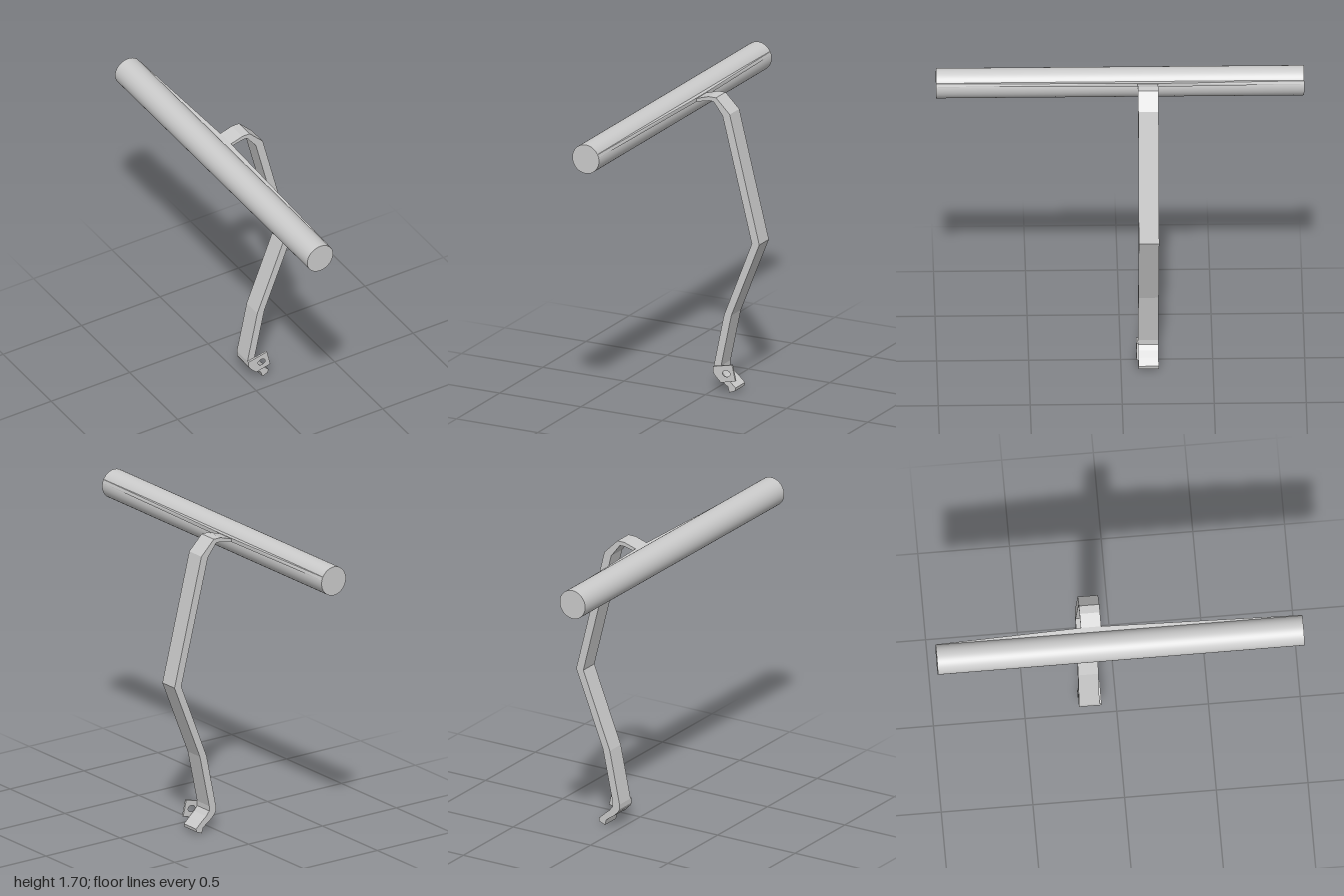
import * as THREE from 'three';
import { ConvexGeometry } from 'three/addons/geometries/ConvexGeometry.js';

const BACK = -0.205, FRONT = -0.094;

export function createModel() {
  const model = new THREE.Group();
  const grey = new THREE.MeshStandardMaterial({ color: 0xcccccc });
  const flat = new THREE.MeshStandardMaterial({ color: 0xcccccc, flatShading: true });

  const add = (name, geometry, material) => {
    const mesh = new THREE.Mesh(geometry, material);
    mesh.name = name;
    model.add(mesh);
    return mesh;
  };
  const outline = (points) => new THREE.Shape(points.map(([x, y]) => new THREE.Vector2(x, y)));
  const extrude = (shape, z0, z1) =>
    new THREE.ExtrudeGeometry(shape, { depth: z1 - z0, bevelEnabled: false, curveSegments: 10 }).translate(0, 0, z0);

  // Long round crossbar
  const bar = add('crossbar', new THREE.CylinderGeometry(0.082, 0.082, 2, 48).rotateX(Math.PI / 2), grey);
  bar.position.set(-0.205, 1.617, 0);

  // Bent flat strip: outer edge down to the hooked foot, then back up the inner edge
  const strip = outline([
    [-0.13, 1.647], [-0.105, 1.657], [-0.03, 1.68], [0.016, 1.68], [0.1, 1.597],
    [0.282, 0.878], [0.11, 0.447], [0.047, 0.15], [0.047, 0.122], [0.068, 0.096],
    [0.1, 0.069], [0.136, 0.036], [0.133, 0.018], [0.097, 0.004],
    [0.088, 0.036], [0.038, 0.07], [0.01, 0.098], [0.002, 0.115], [0.002, 0.142],
    [0.065, 0.443], [0.236, 0.878], [0.056, 1.584], [0, 1.656], [-0.025, 1.657],
    [-0.11, 1.638], [-0.13, 1.63],
  ]);
  add('bentArm', extrude(strip, BACK, FRONT), flat);

  // Thin tab with an oblong hole on the front of the foot
  const tab = outline([
    [0.002, 0.142], [0.12, 0.168], [0.141, 0.078], [0.052, 0.057],
    [0.036, 0.071], [0.01, 0.098], [0.002, 0.115],
  ]);
  tab.holes.push(new THREE.Path().absellipse(0.085, 0.113, 0.023, 0.018, 0, Math.PI * 2, true, 0.05));
  add('mountingTab', extrude(tab, FRONT, -0.083), flat);

  // Shallow web tapering from the arm to both ends of the bar
  const corners = [];
  for (const z of [-0.999, 0.999]) {
    for (const [x, y] of [[-0.15, 1.637], [-0.15, 1.655], [-0.124, 1.637], [-0.13, 1.655]]) {
      corners.push(new THREE.Vector3(x, y, z));
    }
  }
  for (const z of [BACK, FRONT]) {
    for (const y of [1.639, 1.66]) corners.push(new THREE.Vector3(-0.104, y, z));
  }
  add('taperedWeb', new ConvexGeometry(corners), flat);

  return model;
}
